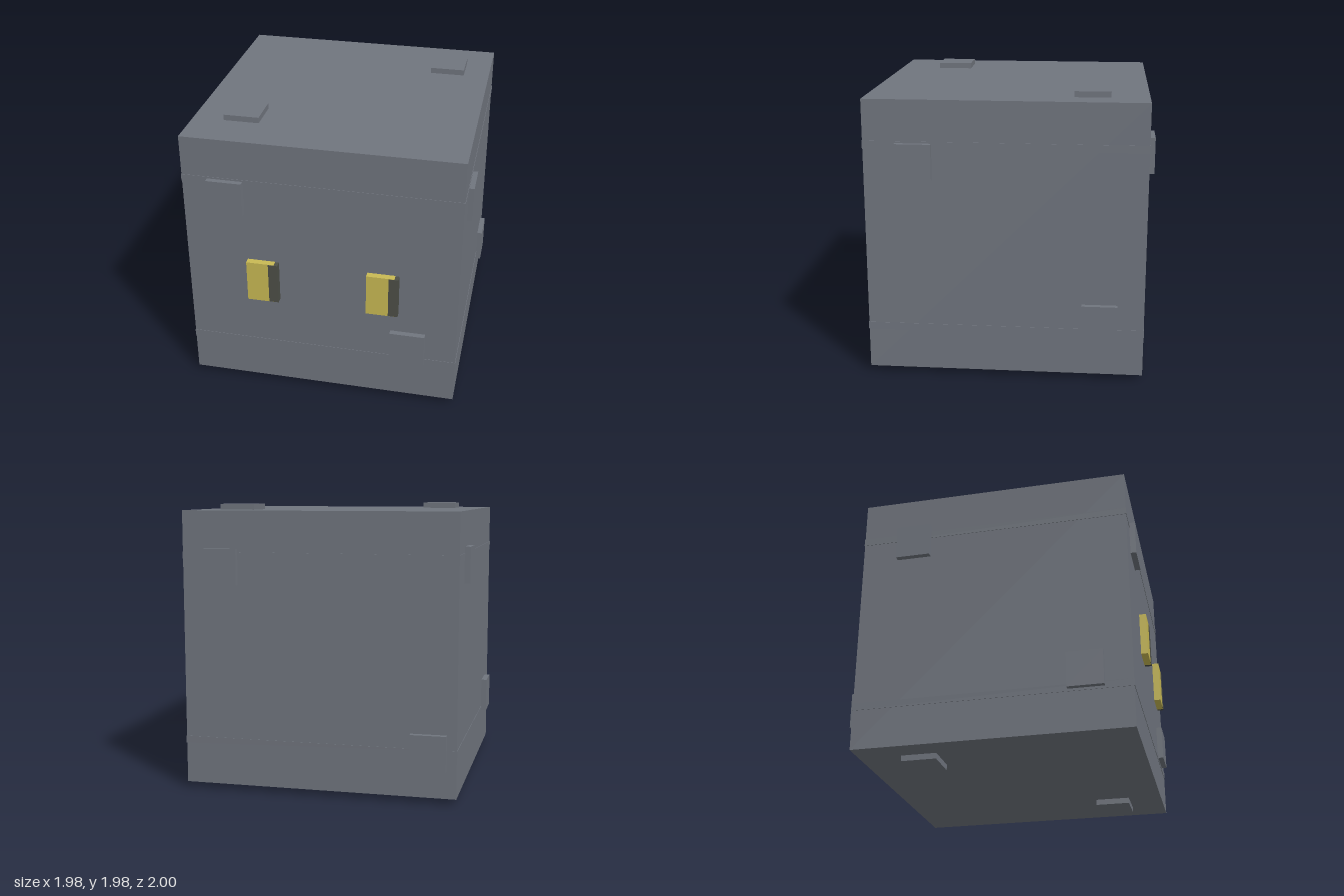
import * as THREE from 'three';

export function createModel() {
  const model = new THREE.Group();
  const flat = (name, color) => {
    const m = new THREE.MeshStandardMaterial({ color });
    m.name = name;
    return m;
  };
  const grey = flat('slate grey', 0x70757e);
  const yellow = flat('eye yellow', 0xc9ba54);
  const dark = flat('pupil dark', 0x4d4f47);

  // Box given by its lower and upper corners
  const box = (name, mat, [x0, y0, z0], [x1, y1, z1], parent = model) => {
    const mesh = new THREE.Mesh(new THREE.BoxGeometry(x1 - x0, y1 - y0, z1 - z0), mat);
    mesh.position.set((x0 + x1) / 2, (y0 + y1) / 2, (z0 + z1) / 2);
    mesh.name = name;
    parent.add(mesh);
    return mesh;
  };

  // Body cube
  box('body', grey, [-0.95, 0.04, -0.96], [0.95, 1.94, 0.94]);

  // Two barely raised bands around the body
  for (const [name, y] of [['lowerBand', 0.32], ['upperBand', 1.61]]) {
    box(name, grey, [-0.953, y, -0.963], [0.953, y + 0.05, 0.943]);
  }

  // Square studs: axis across the face, span along it, then the two centres
  const studs = {
    topStud: ['y', 1.93, 1.98, [[-0.61, 0.52], [0.645, -0.58]]],
    bottomStud: ['y', 0, 0.05, [[0.61, 0.58], [-0.65, -0.54]]],
    frontStud: ['z', 0.93, 0.98, [[-0.65, 1.525], [0.61, 0.46]]],
    backStud: ['z', -1, -0.95, [[0.68, 1.56], [-0.76, 0.35]]],
    leftStud: ['x', 0.94, 0.987, [[1.525, 0.6], [0.425, -0.655]]],
    rightStud: ['x', -0.99, -0.94, [[1.58, -0.58], [0.46, 0.63]]],
  };
  const h = 0.1225;
  for (const [name, [axis, lo, hi, centres]] of Object.entries(studs)) {
    for (const [a, b] of centres) {
      const corner = (d, s) =>
        axis === 'x' ? [d, a + s, b + s] : axis === 'y' ? [a + s, d, b + s] : [a + s, b + s, d];
      box(name, grey, corner(lo, -h), corner(hi, h));
    }
  }

  // Eyes: yellow block with a dark pupil along its side
  for (const [name, x] of [['rightEye', -0.515], ['leftEye', 0.323]]) {
    const eye = new THREE.Group();
    eye.name = name;
    box('iris', yellow, [x, 0.745, 0.951], [x + 0.193, 1.05, 0.998], eye);
    box('pupil', dark, [x + 0.154, 0.747, 0.953], [x + 0.221, 1.048, 1], eye);
    model.add(eye);
  }
  return model;
}
